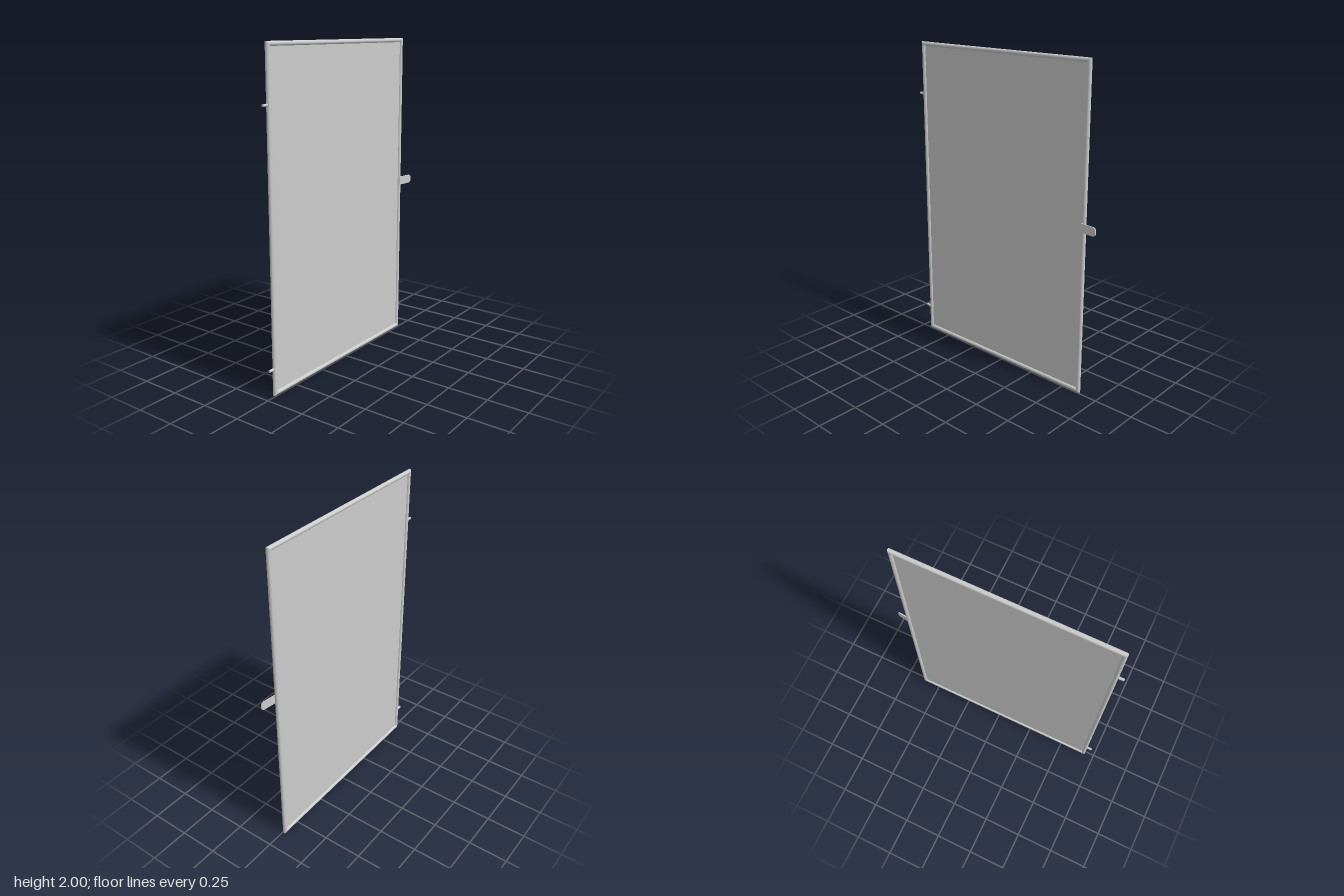
import * as THREE from 'three';

const LEFT = -0.687, RIGHT = 0.627, TOP = 2, R = 0.0133, Z = -0.0115;

// Round tube running round a rectangle with mitred corners; one smooth strip per side.
function mitredSide(a, b, segments = 24) {
  const pos = [], normal = [], index = [];
  const dir = new THREE.Vector2(b.x - a.x, b.y - a.y).normalize();
  const out = new THREE.Vector2(dir.y, -dir.x);
  for (let i = 0; i <= segments; i++) {
    const t = (i / segments) * Math.PI * 2;
    const c = Math.cos(t), s = Math.sin(t);
    for (const p of [a, b]) {
      pos.push(p.x + p.sx * R * c, p.y + p.sy * R * c, Z + R * s);
      normal.push(out.x * c, out.y * c, s);
    }
    if (i < segments) {
      const k = i * 2;
      index.push(k, k + 1, k + 2, k + 1, k + 3, k + 2);
    }
  }
  const g = new THREE.BufferGeometry();
  g.setAttribute('position', new THREE.Float32BufferAttribute(pos, 3));
  g.setAttribute('normal', new THREE.Float32BufferAttribute(normal, 3));
  g.setIndex(index);
  return g;
}

export function createModel() {
  const model = new THREE.Group();
  model.name = 'framedDoor';
  const grey = new THREE.MeshStandardMaterial({ color: 0xcccccc });
  const add = (name, geometry, parent = model) => {
    const mesh = new THREE.Mesh(geometry, grey);
    mesh.name = name;
    parent.add(mesh);
    return mesh;
  };

  // Tubular frame, corners listed counter-clockwise from the front
  const frame = new THREE.Group();
  frame.name = 'frame';
  model.add(frame);
  const corners = [[-1, -1], [1, -1], [1, 1], [-1, 1]].map(([sx, sy]) => ({
    sx, sy,
    x: sx < 0 ? LEFT + R : RIGHT - R,
    y: sy < 0 ? R : TOP - R,
  }));
  ['bottomRail', 'leftStile', 'topRail', 'rightStile'].forEach((name, i) =>
    add(name, mitredSide(corners[i], corners[(i + 1) % 4]), frame));

  // Thin infill panel, its edges buried in the tubes
  add('panel', new THREE.BoxGeometry(RIGHT - LEFT - 2 * R, TOP - 2 * R, 0.004))
    .position.set((LEFT + RIGHT) / 2, TOP / 2, Z);

  // Hinge pins with a small strap across the stile
  for (const y of [0.165, 1.67]) {
    const hinge = new THREE.Group();
    hinge.name = 'hinge';
    hinge.position.y = y;
    model.add(hinge);
    const pin = add('hingePin', new THREE.CylinderGeometry(0.008, 0.008, 0.06, 16), hinge);
    pin.rotation.z = Math.PI / 2;
    pin.position.set(-0.69, 0, Z);
    add('hingeStrap', new THREE.BoxGeometry(0.028, 0.016, 0.004), hinge)
      .position.set(-0.674, 0, 0.001);
  }

  // Flat latch tab, rounded at its free end and angled forward
  const L = 0.111, H = 0.027, C = 0.02;
  const tab = new THREE.Shape();
  tab.moveTo(0, -H);
  tab.lineTo(L - C, -H);
  tab.absarc(L - C, -H + C, C, -Math.PI / 2, 0, false);
  tab.absarc(L - C, H - C, C, 0, Math.PI / 2, false);
  tab.lineTo(0, H);
  tab.closePath();
  const latch = add('latchTab', new THREE.ExtrudeGeometry(tab, {
    depth: 0.007, bevelEnabled: false, curveSegments: 8,
  }));
  latch.position.set(0.605, 1.058, 0.001);
  latch.rotation.y = -0.125;

  return model;
}
